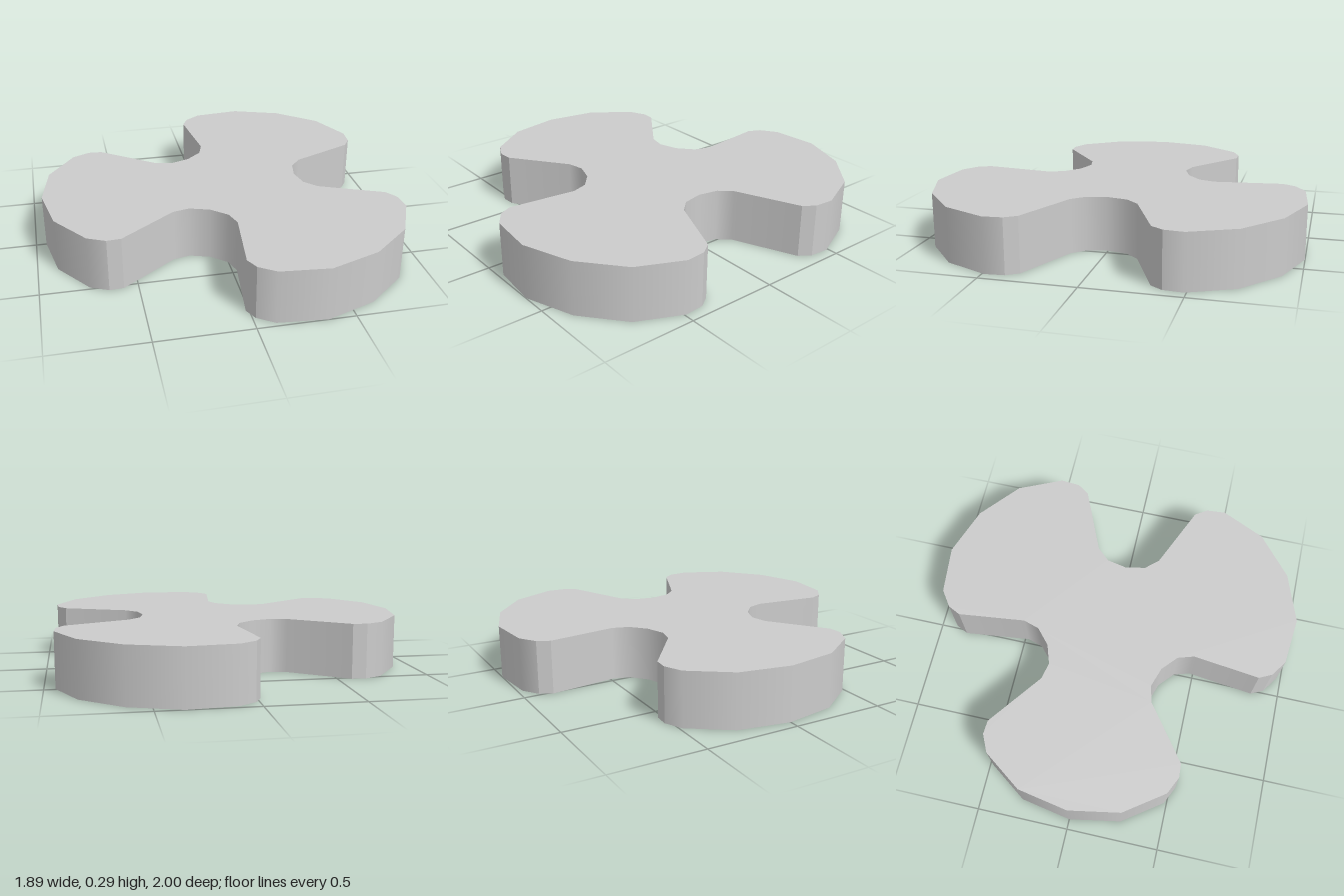
import * as THREE from 'three';

const HEIGHT = 0.29;
const CENTRE_X = 0.1;
const THIRD = (Math.PI * 2) / 3;

// Half of one lobe as [distance from hub, sideways offset], from tip to notch
const tipHalf = [[1.045, 0], [0.995, 0.275], [0.845, 0.485], [0.75, 0.53]];
const neckHalf = [[0.675, 0.525], [0.38, 0.305], [0.29, 0.285]];
const notchMiddle = [0.185, 0.32];

const mirror = (points) => points.map(([u, v]) => [u, -v]).reverse();

// Place lobe points on the ground plane for lobe number k
function place(points, k) {
  const t = Math.PI + k * THIRD;
  const c = Math.cos(t), s = Math.sin(t);
  return points.map(([u, v]) => new THREE.Vector2(CENTRE_X + u * c - v * s, u * s + v * c));
}

// Upright wall along a run of points, smooth inside the run and sharp at its ends
function wallGeometry(run) {
  const edgeNormals = run.slice(1).map((p, i) => new THREE.Vector2(p.y - run[i].y, run[i].x - p.x));
  const positions = [], normals = [], index = [];
  run.forEach((p, i) => {
    const n = new THREE.Vector2();
    if (i > 0) n.add(edgeNormals[i - 1]);
    if (i < edgeNormals.length) n.add(edgeNormals[i]);
    n.normalize();
    positions.push(p.x, 0, p.y, p.x, HEIGHT, p.y);
    normals.push(n.x, 0, n.y, n.x, 0, n.y);
    if (i > 0) {
      const a = 2 * i - 2, b = 2 * i;
      index.push(a, a + 1, b, b, a + 1, b + 1);
    }
  });
  const geometry = new THREE.BufferGeometry();
  geometry.setAttribute('position', new THREE.Float32BufferAttribute(positions, 3));
  geometry.setAttribute('normal', new THREE.Float32BufferAttribute(normals, 3));
  geometry.setIndex(index);
  return geometry;
}

export function createModel() {
  const group = new THREE.Group();
  group.name = 'threeLobedPlate';
  const material = new THREE.MeshStandardMaterial({ color: 0xcccccc });
  const add = (name, geometry) => {
    const mesh = new THREE.Mesh(geometry, material);
    mesh.name = name;
    group.add(mesh);
    return mesh;
  };

  const tip = [...mirror(tipHalf.slice(1)), ...tipHalf];
  const neckStart = mirror(neckHalf);
  const outline = [];

  for (let k = 0; k < 3; k++) {
    const tipRun = place(tip, k);
    const notchRun = [...place([...neckHalf, notchMiddle], k), ...place(neckStart, k + 1)];
    const nextTip = place(tip, k + 1)[0];
    outline.push(...tipRun, ...notchRun);

    // Rounded lobe end, its two flat corners, and the notch to the next lobe
    add('lobeEnd', wallGeometry(tipRun));
    add('lobeCorner', wallGeometry([tipRun[tipRun.length - 1], notchRun[0]]));
    add('notch', wallGeometry(notchRun));
    add('lobeCorner', wallGeometry([notchRun[notchRun.length - 1], nextTip]));
  }

  // Flat top and bottom faces
  const topShape = new THREE.Shape(outline.map((p) => new THREE.Vector2(p.x, -p.y)));
  add('topFace', new THREE.ShapeGeometry(topShape).rotateX(-Math.PI / 2)).position.y = HEIGHT;
  add('bottomFace', new THREE.ShapeGeometry(new THREE.Shape(outline)).rotateX(Math.PI / 2));

  return group;
}
